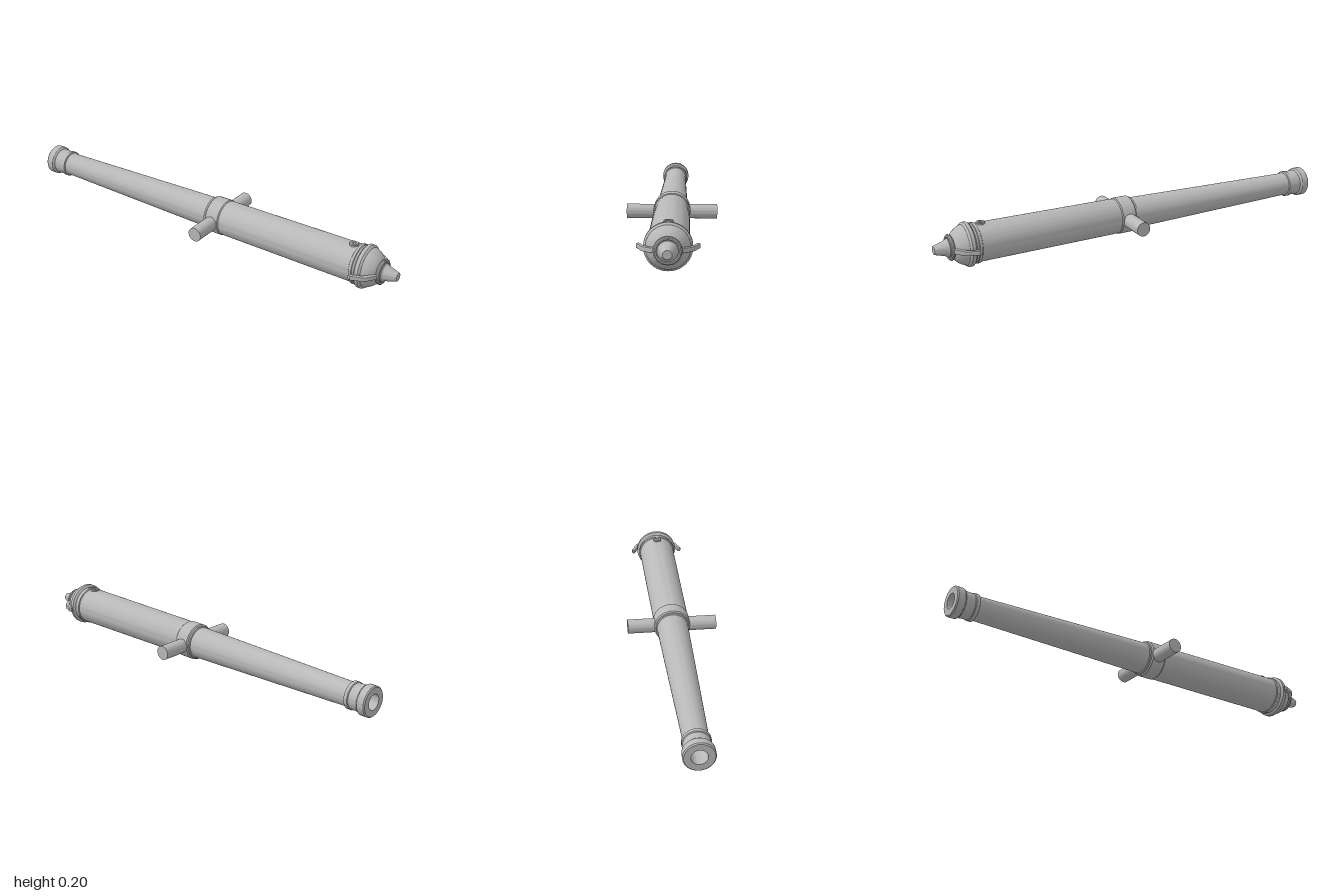
import * as THREE from 'three';
import { toCreasedNormals } from 'three/addons/utils/BufferGeometryUtils.js';

const AXIS_Y = 0.103;

export function createModel() {
  const model = new THREE.Group();
  model.name = 'cannonBarrel';
  const iron = new THREE.MeshStandardMaterial({ color: 0xb8b8b8 });
  iron.name = 'grey iron';

  const add = (name, geometry, x = 0, y = 0, z = 0) => {
    const mesh = new THREE.Mesh(toCreasedNormals(geometry, 0.5), iron);
    mesh.name = name;
    mesh.position.set(x, y, z);
    model.add(mesh);
    return mesh;
  };
  const lathe = (points, segments) =>
    new THREE.LatheGeometry(points.map(([r, h]) => new THREE.Vector2(r, h)), segments);

  // Barrel: bore, muzzle, chase, trunnion band, breech (radius, z)
  const barrel = [
    [0, -0.4], [0.036, -0.4], [0.036, -1],
    [0.066, -1], [0.071, -0.995], [0.071, -0.962], [0.067, -0.956],
    [0.062, -0.953], [0.06, -0.908], [0.064, -0.905], [0.064, -0.888], [0.058, -0.885],
    [0.056, -0.875], [0.075, 0.01],
    [0.081, 0.012], [0.081, 0.02], [0.087, 0.026], [0.087, 0.092], [0.083, 0.097], [0.083, 0.106],
    [0.084, 0.11], [0.089, 0.8],
    [0.094, 0.803], [0.094, 0.815], [0.091, 0.818], [0.091, 0.827],
    [0.097, 0.83], [0.102, 0.836], [0.102, 0.852], [0.097, 0.859], [0.093, 0.861],
    // rounded breech face
    [0.087, 0.876], [0.078, 0.891], [0.066, 0.905], [0.05, 0.917], [0.043, 0.92],
    // tapered end knob
    [0.043, 0.936], [0.037, 0.942], [0.021, 0.996], [0.019, 1], [0, 1]
  ];
  add('barrel', lathe(barrel, 64).rotateX(Math.PI / 2), 0, AXIS_Y, 0);

  // Trunnions
  add('trunnions', new THREE.CylinderGeometry(0.034, 0.034, 0.428, 40).rotateZ(Math.PI / 2), 0, 0.098, 0.057);

  // Raised vent with touch hole
  const vent = [[0.021, 0], [0.021, 0.013], [0.018, 0.016], [0.009, 0.016], [0.007, 0.012], [0, 0.012]];
  add('vent', lathe(vent, 28), 0, 0.184, 0.775);

  // Split collar around the knob, with a narrow gap on top
  const gap = 0.05;
  const collar = new THREE.TorusGeometry(0.051, 0.0095, 10, 16, Math.PI * 2 - gap);
  collar.rotateZ(Math.PI / 2 + gap / 2);
  add('collar', collar, 0, AXIS_Y, 0.925);
  for (const side of [-1, 1]) {
    const cap = new THREE.CircleGeometry(0.0095, 10).rotateY(-side * Math.PI / 2);
    add('collarEnd', cap, side * 0.0013, AXIS_Y + 0.051, 0.925);
  }

  // Curved side lugs hooking forward over the breech (x, z outline)
  const outline = [
    [0.048, 0.91], [0.078, 0.889], [0.098, 0.868], [0.104, 0.85], [0.116, 0.823],
    [0.127, 0.819], [0.132, 0.832], [0.121, 0.855], [0.115, 0.875], [0.1, 0.897],
    [0.082, 0.911], [0.048, 0.932]
  ];
  for (const side of [-1, 1]) {
    const shape = new THREE.Shape(outline.map(([x, z]) => new THREE.Vector2(side * x, z)));
    const lug = new THREE.ExtrudeGeometry(shape, {
      depth: 0.012, bevelThickness: 0.005, bevelSize: 0.005, bevelOffset: -0.005, bevelSegments: 2
    });
    lug.translate(0, 0, -0.006).rotateX(Math.PI / 2);
    add(side > 0 ? 'leftLug' : 'rightLug', lug, 0, AXIS_Y, 0);
  }

  return model;
}
